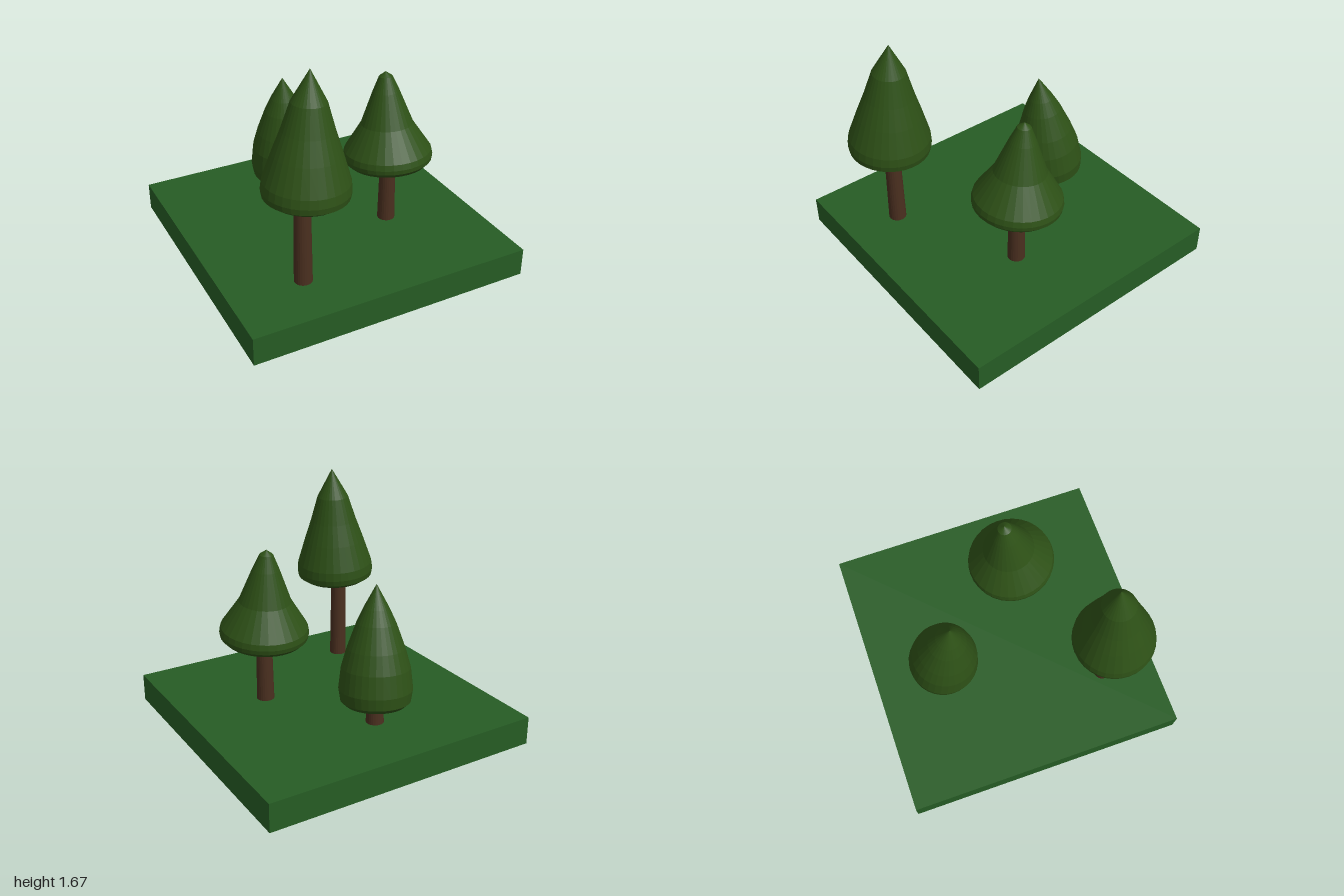
import * as THREE from 'three';

const mat = (color) => new THREE.MeshStandardMaterial({ color, flatShading: true });
const groundMat = mat(0x265c24);
const leafMat = mat(0x2d5016);
const barkMat = mat(0x4a2f1f);
const GROUND_TOP = 0.2;

// Each tree: trunk foot (x, z), canopy base centre and tip, and canopy profile [radius, height along axis]
const trees = [
  {
    name: 'tallTree', foot: [-0.478, 0.615], base: [-0.462, 0.83, 0.635], tip: [-0.412, 1.675, 0.605],
    profile: [[0.235, 0], [0.278, 0.03], [0.285, 0.07], [0.278, 0.13], [0.22, 0.31], [0.168, 0.46], [0.113, 0.64]],
  },
  {
    name: 'smallTree', foot: [-0.077, -0.495], base: [-0.08, 0.335, -0.495], tip: [-0.128, 1.15, -0.41],
    profile: [[0.205, 0], [0.238, 0.03], [0.25, 0.11], [0.232, 0.26], [0.195, 0.39], [0.133, 0.56], [0.087, 0.66]],
  },
  {
    name: 'wideTree', foot: [0.386, 0.203], base: [0.386, 0.658, 0.202], tip: [0.382, 1.315, 0.143],
    profile: [[0.275, 0], [0.305, 0.03], [0.31, 0.06], [0.302, 0.1], [0.18, 0.29], [0.092, 0.52], [0.047, 0.625]],
  },
];

function buildTree({ name, foot, base, tip, profile }) {
  const tree = new THREE.Group();
  tree.name = name;

  // Slightly tapered trunk reaching into the canopy
  const height = base[1] + 0.05 - GROUND_TOP;
  const trunk = new THREE.Mesh(new THREE.CylinderGeometry(0.053, 0.062, height, 24), barkMat);
  trunk.name = 'trunk';
  trunk.position.set(foot[0], GROUND_TOP + height / 2, foot[1]);

  // Closed canopy turned around an axis leaning from base to tip
  const start = new THREE.Vector3(...base);
  const axis = new THREE.Vector3(...tip).sub(start);
  const points = [[0, 0], ...profile, [0, axis.length()]].map(([r, y]) => new THREE.Vector2(r, y));
  const canopy = new THREE.Mesh(new THREE.LatheGeometry(points, 32), leafMat);
  canopy.name = 'canopy';
  canopy.position.copy(start);
  canopy.quaternion.setFromUnitVectors(new THREE.Vector3(0, 1, 0), axis.normalize());

  tree.add(trunk, canopy);
  return tree;
}

export function createModel() {
  const model = new THREE.Group();
  model.name = 'treePatch';

  // Square ground slab
  const ground = new THREE.Mesh(new THREE.BoxGeometry(2, GROUND_TOP, 2), groundMat);
  ground.name = 'ground';
  ground.position.y = GROUND_TOP / 2;

  model.add(ground, ...trees.map(buildTree));
  return model;
}
